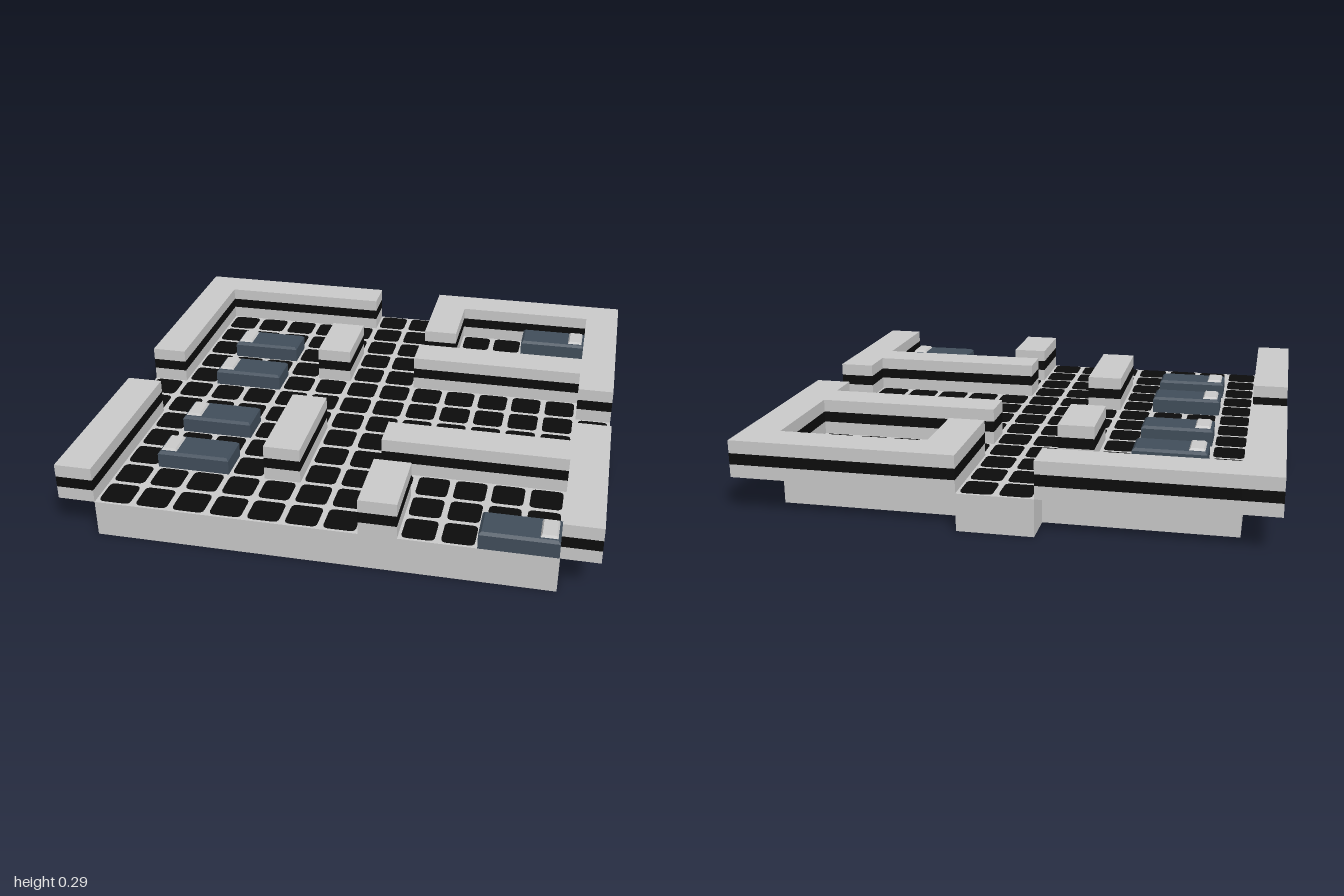
import * as THREE from 'three';

const C = 1 / 7;               // grid cell size: 14 columns by 13 rows
const COLS = 14, ROWS = 13;
const FLOOR = C, TOP = 2 * C;  // heights of the floor and the wall tops

const material = (name, color) => {
  const m = new THREE.MeshStandardMaterial({ color });
  m.name = name;
  return m;
};

const colX = (i) => (i - COLS / 2) * C;
const rowZ = (j) => (j - ROWS / 2) * C;

export function createModel() {
  const stone = material('light grey stone', 0xcacaca);
  const black = material('black', 0x0c0c0c);
  const blue = material('slate blue', 0x414e5b);
  const model = new THREE.Group();
  model.name = 'floorPlan';

  // Box covering grid cells from (i, j), w by d cells, between two heights
  const block = (parent, name, mat, [i, j, w, d], y0, y1) => {
    const mesh = new THREE.Mesh(new THREE.BoxGeometry(w * C, y1 - y0, d * C), mat);
    mesh.position.set(colX(i + w / 2), (y0 + y1) / 2, rowZ(j + d / 2));
    mesh.name = name;
    parent.add(mesh);
  };

  // Floor slab and doorway tabs
  const floors = [[1, 1, 12, 12], [0, 6, 1, 2], [13, 6, 1, 2], [6, 0, 2, 1]];
  floors.forEach((f, n) => block(model, n ? 'doorwayFloor' : 'floor', stone, f, 0, FLOOR));

  // Walls: grey, black band, grey
  const walls = [
    [0, 0, 1, 6], [0, 8, 1, 5], [13, 0, 1, 6], [13, 8, 1, 5], // sides
    [1, 0, 5, 1], [8, 0, 5, 1],                               // back
    [5, 3, 1, 2], [5, 8, 1, 3],                               // left-hand rooms
    [8, 1, 1, 2], [8, 4, 5, 1], [8, 9, 5, 1], [8, 11, 1, 2],  // right-hand rooms
  ];
  for (const w of walls) {
    const wall = new THREE.Group();
    wall.name = 'wall';
    block(wall, 'wallBase', stone, w, FLOOR, 0.193);
    block(wall, 'wallBand', black, w, 0.193, 0.236);
    block(wall, 'wallCap', stone, w, 0.236, TOP);
    model.add(wall);
  }

  // Rounded black floor tiles on every open cell
  const h = 0.06, r = 0.022;
  const s = new THREE.Shape();
  s.moveTo(-h + r, -h);
  s.lineTo(h - r, -h).quadraticCurveTo(h, -h, h, -h + r);
  s.lineTo(h, h - r).quadraticCurveTo(h, h, h - r, h);
  s.lineTo(-h + r, h).quadraticCurveTo(-h, h, -h, h - r);
  s.lineTo(-h, -h + r).quadraticCurveTo(-h, -h, -h + r, -h);
  const tileGeo = new THREE.ExtrudeGeometry(s, { depth: 0.003, bevelEnabled: false, curveSegments: 4 });
  tileGeo.rotateX(-Math.PI / 2);

  const beds = [[2, 3], [2, 5], [2, 8], [2, 10], [11, 1], [11, 12]];
  const covers = ([i, j, w, d], a, b) => a >= i && a < i + w && b >= j && b < j + d;
  const taken = [...walls, ...beds.map(([i, j]) => [i, j, 2, 1])];
  const tiles = new THREE.Group();
  tiles.name = 'floorTiles';
  for (let i = 0; i < COLS; i++) {
    for (let j = 0; j < ROWS; j++) {
      if (!floors.some((f) => covers(f, i, j)) || taken.some((t) => covers(t, i, j))) continue;
      const tile = new THREE.Mesh(tileGeo, black);
      tile.name = 'floorTile';
      tile.position.set(colX(i + 0.5), FLOOR, rowZ(j + 0.5));
      tiles.add(tile);
    }
  }
  model.add(tiles);

  // Box standing on y = 0 whose top edge is drawn in by a margin
  const taperedBox = (w, ht, d, inset) => {
    const g = new THREE.BoxGeometry(w, ht, d).toNonIndexed();
    const p = g.attributes.position;
    for (let k = 0; k < p.count; k++) {
      if (p.getY(k) > 0) {
        p.setX(k, p.getX(k) - Math.sign(p.getX(k)) * inset);
        p.setZ(k, p.getZ(k) - Math.sign(p.getZ(k)) * inset);
      }
    }
    g.translate(0, ht / 2, 0);
    g.computeVertexNormals();
    return g;
  };

  // Beds, with the pillow towards the nearer side wall
  const bedParts = [
    ['bedBase', taperedBox(2 * C, 0.057, C, 0), blue, 0, 0],
    ['bedCover', taperedBox(2 * C, 0.01, C, 0.01), blue, 0, 0.057],
    ['pillow', taperedBox(0.062, 0.009, 0.108, 0.006), stone, -0.102, 0.067],
  ];
  for (const [i, j] of beds) {
    const bed = new THREE.Group();
    bed.name = 'bed';
    for (const [name, geo, mat, x, y] of bedParts) {
      const part = new THREE.Mesh(geo, mat);
      part.name = name;
      part.position.set(x, y, 0);
      bed.add(part);
    }
    bed.position.set(colX(i + 1), FLOOR, rowZ(j + 0.5));
    if (i > 7) bed.rotation.y = Math.PI;
    model.add(bed);
  }

  return model;
}
